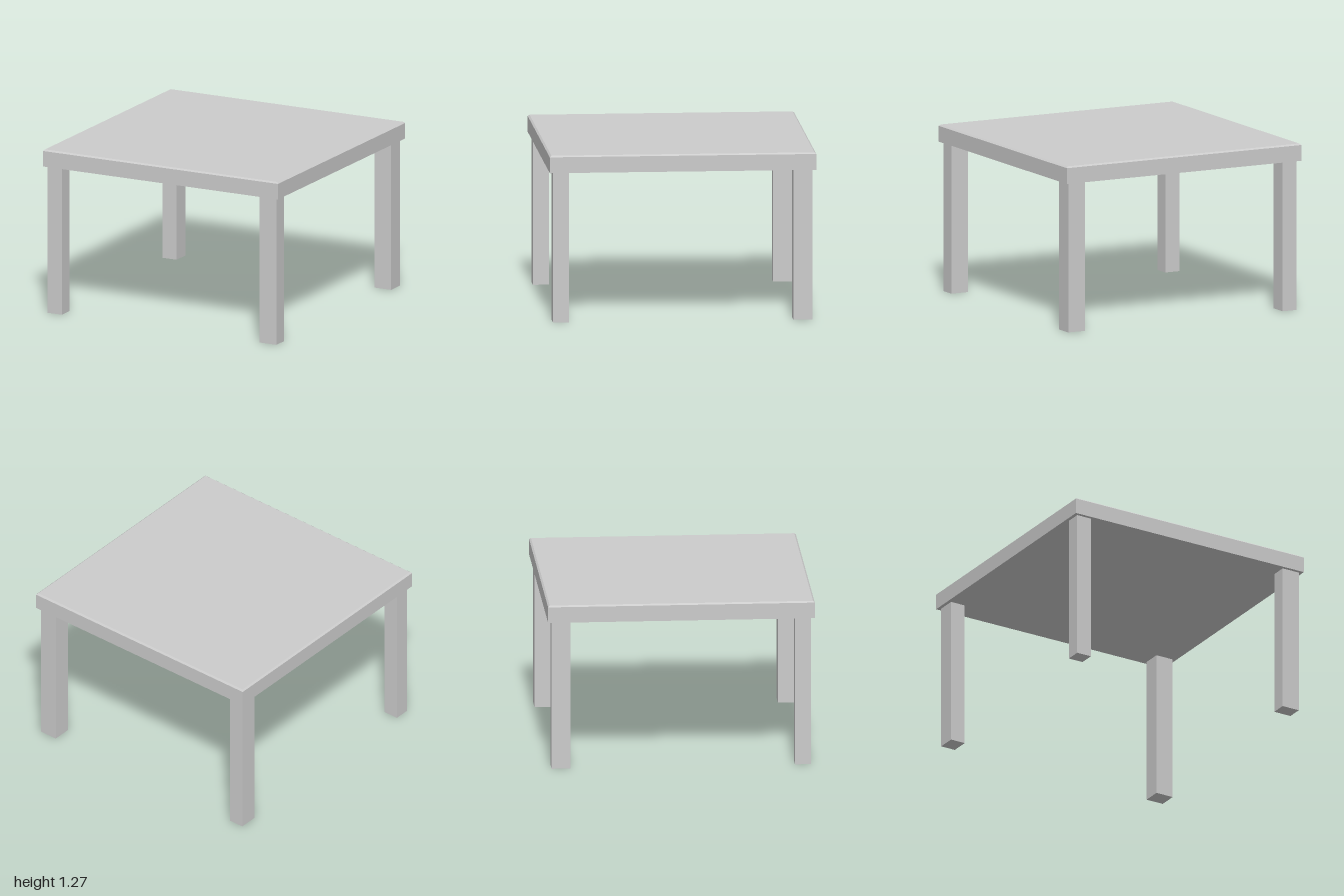
import * as THREE from 'three';

const UNDERSIDE = 1.136;

export function createModel() {
  const group = new THREE.Group();
  const material = new THREE.MeshStandardMaterial({ color: 0xcccccc, flatShading: true });

  // Square tabletop with a small chamfer: four-sided lathe of [half width, height]
  const profile = [[0, UNDERSIDE], [1, UNDERSIDE], [1, 1.256], [0.987, 1.267], [0, 1.267]]
    .map(([half, y]) => new THREE.Vector2(half * Math.SQRT2, y));
  const top = new THREE.Mesh(new THREE.LatheGeometry(profile, 4).rotateY(Math.PI / 4), material);
  top.name = 'tabletop';
  group.add(top);

  // Legs: the spans differ slightly between the two sides of each axis
  const spansX = { Left: [0.83, 0.972], Right: [-0.973, -0.853] };
  const spansZ = { front: [0.853, 0.973], back: [-0.972, -0.83] };
  for (const [zName, [z0, z1]] of Object.entries(spansZ)) {
    for (const [xName, [x0, x1]] of Object.entries(spansX)) {
      const leg = new THREE.Mesh(new THREE.BoxGeometry(x1 - x0, UNDERSIDE, z1 - z0), material);
      leg.position.set((x0 + x1) / 2, UNDERSIDE / 2, (z0 + z1) / 2);
      leg.name = `${zName}${xName}Leg`;
      group.add(leg);
    }
  }
  return group;
}
